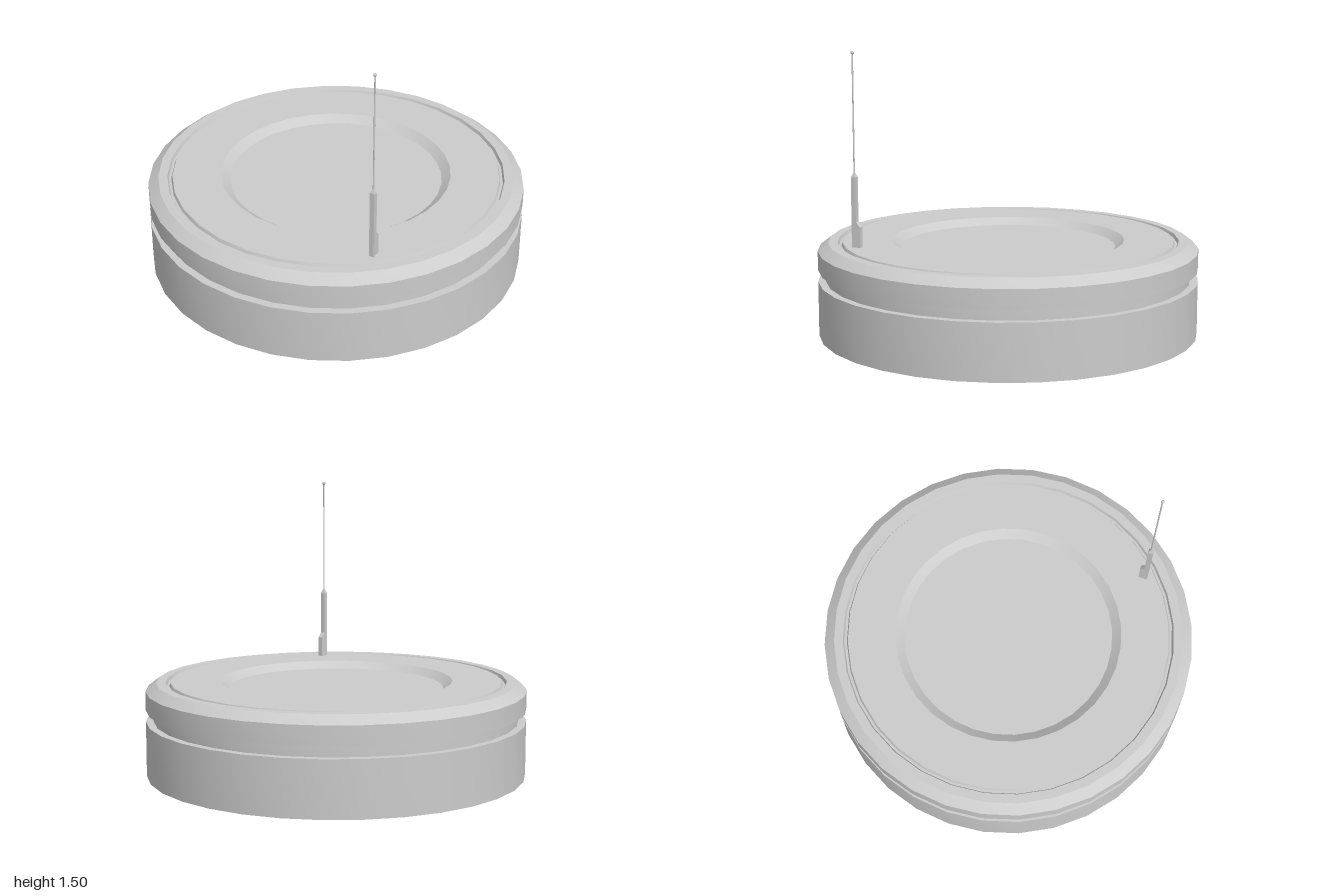
import * as THREE from 'three';
import { toCreasedNormals } from 'three/addons/utils/BufferGeometryUtils.js';

const material = new THREE.MeshStandardMaterial({ color: 0xcccccc });

function add(parent, name, geometry, x = 0, y = 0, z = 0) {
  const mesh = new THREE.Mesh(geometry, material);
  mesh.name = name;
  mesh.position.set(x, y, z);
  parent.add(mesh);
  return mesh;
}

export function createModel() {
  const model = new THREE.Group();
  model.name = 'roundDevice';

  // Body profile (radius, height), from underside centre round to top centre
  const profile = [
    [0, 0.055], [0.795, 0.055], [0.795, 0],       // underside recess
    [1, 0], [1, 0.29],                            // lower wall
    [0.96, 0.29], [0.96, 0.35],                   // side groove
    [1, 0.35], [1, 0.45], [0.945, 0.492],         // lip and bevel
    [0.897, 0.492], [0.89, 0.475],                // narrow ring groove in the top
    [0.877, 0.475], [0.87, 0.492],
    [0.612, 0.492], [0.565, 0.455], [0, 0.455],   // shallow dish
  ].map(([r, y]) => new THREE.Vector2(r, y));
  add(model, 'body', toCreasedNormals(new THREE.LatheGeometry(profile, 32), 0.5));

  // Antenna
  const antenna = new THREE.Group();
  antenna.name = 'antenna';
  antenna.position.set(0.553, 0.49, 0.602);
  model.add(antenna);

  const w = 0.026;
  add(antenna, 'antennaBase', new THREE.BoxGeometry(w, 0.365, w), 0, 0.1825, 0);

  // Tapered collar above the square base
  const collar = new THREE.CylinderGeometry(0.006, w / Math.SQRT2, 0.022, 4).toNonIndexed();
  collar.rotateY(Math.PI / 4);
  collar.computeVertexNormals();
  add(antenna, 'antennaCollar', collar, 0, 0.376, 0);

  // Sloped brace behind the base
  const side = new THREE.Shape();
  side.moveTo(0, 0);
  side.lineTo(0.024, 0);
  side.lineTo(0.024, 0.11);
  side.lineTo(0, 0.138);
  const brace = new THREE.ExtrudeGeometry(side, { depth: w, bevelEnabled: false });
  brace.translate(0, 0, -w / 2);
  brace.rotateY(Math.PI / 2);
  add(antenna, 'antennaBrace', brace, 0, 0, -w / 2 + 0.002);

  add(antenna, 'antennaMast', new THREE.CylinderGeometry(0.004, 0.004, 0.615, 8), 0, 0.69, 0);
  add(antenna, 'antennaTip', new THREE.SphereGeometry(0.009, 8, 6), 0, 0.997, 0);

  return model;
}
